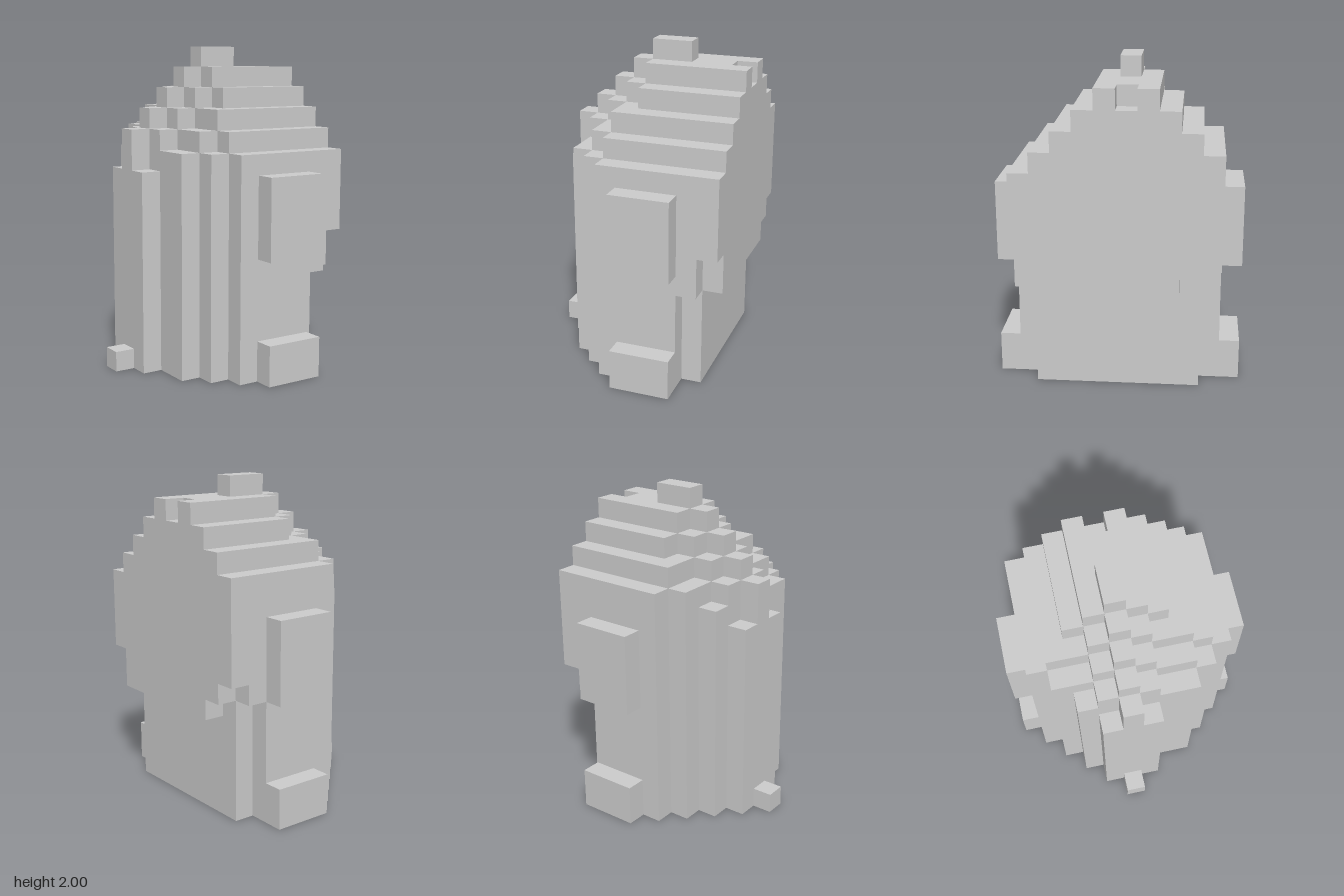
import * as THREE from 'three';
import { mergeGeometries } from 'three/addons/utils/BufferGeometryUtils.js';

const U = 0.125; // edge of one block

// Column tops (in blocks) by distance from the ridge row, for each column x < 0
// "back" is how many rows the column reaches behind the ridge
const FLAT = { tops: [15, 15, 14, 13, 12, 11], back: 4 };
const ROUNDED = {
  '-1': { tops: [15, 14, 13, 13, 12, 11], back: 4 },
  '-2': { tops: [14, 13, 12, 12, 11], back: 3 },
  '-3': { tops: [13, 12, 11, 11], back: 2 },
  '-4': { tops: [12, 10], back: 1 },
};

function columnTop(c, r) {
  if (c < -4 || c > 4) return 0;
  const col = c >= 0 ? FLAT : ROUNDED[c];
  if (r < -col.back) return 0;
  if (c === 4 && r === 0) return 14; // notch in the ridge
  return col.tops[Math.abs(r)] ?? 0;
}

// Undercut below the overhang on the flat side
function columnBottom(c, r) {
  if (c === 4) return r === 5 || r === -4 ? 7 : r === -3 ? 6 : 5;
  if (c === 3) return r === 5 ? 5 : r === -4 ? 6 : 0;
  return 0;
}

const solid = (c, y, r) => y >= columnBottom(c, r) && y < columnTop(c, r);

// Unit faces pointing along the six axes
const FACES = [
  [[1, 0, 0], 0, Math.PI / 2], [[-1, 0, 0], 0, -Math.PI / 2],
  [[0, 1, 0], -Math.PI / 2, 0], [[0, -1, 0], Math.PI / 2, 0],
  [[0, 0, 1], 0, 0], [[0, 0, -1], 0, Math.PI],
].map(([dir, rx, ry]) => ({
  dir,
  geometry: new THREE.PlaneGeometry(U, U).rotateX(rx).rotateY(ry)
    .translate(dir[0] * U / 2, dir[1] * U / 2, dir[2] * U / 2),
}));

// Only the exposed block faces form the skin
function blockSkin() {
  const parts = [];
  for (let c = -4; c <= 4; c++)
    for (let r = -4; r <= 5; r++)
      for (let y = columnBottom(c, r); y < columnTop(c, r); y++)
        for (const { dir, geometry } of FACES)
          if (!solid(c + dir[0], y + dir[1], r + dir[2]))
            parts.push(geometry.clone().translate((c + 0.5) * U, (y + 0.5) * U, (r - 0.5) * U));
  return mergeGeometries(parts);
}

export function createModel() {
  const group = new THREE.Group();
  const material = new THREE.MeshStandardMaterial({ color: 0xcccccc, flatShading: true });

  const add = (name, geometry) => {
    const mesh = new THREE.Mesh(geometry, material);
    mesh.name = name;
    group.add(mesh);
    return mesh;
  };
  // Box given by its minimum and maximum corners
  const box = (name, a, b) =>
    add(name, new THREE.BoxGeometry(b[0] - a[0], b[1] - a[1], b[2] - a[2]))
      .position.set((a[0] + b[0]) / 2, (a[1] + b[1]) / 2, (a[2] + b[2]) / 2);

  add('body', blockSkin());

  // Raised pads on the front and back
  for (const [side, z0, z1] of [['front', 0.625, 0.75], ['back', -0.75, -0.625]]) {
    box(side + 'LowerPad', [0, 0, z0], [0.375, 0.25, z1]);
    box(side + 'UpperPad', [0, 0.75, z0], [0.375, 1.25, z1]);
  }

  box('topKnob', [0, 1.875, -0.125], [0.25, 2, 0]);
  box('footKnob', [-0.625, 0, -0.125], [-0.5, 0.125, 0]);

  return group;
}
